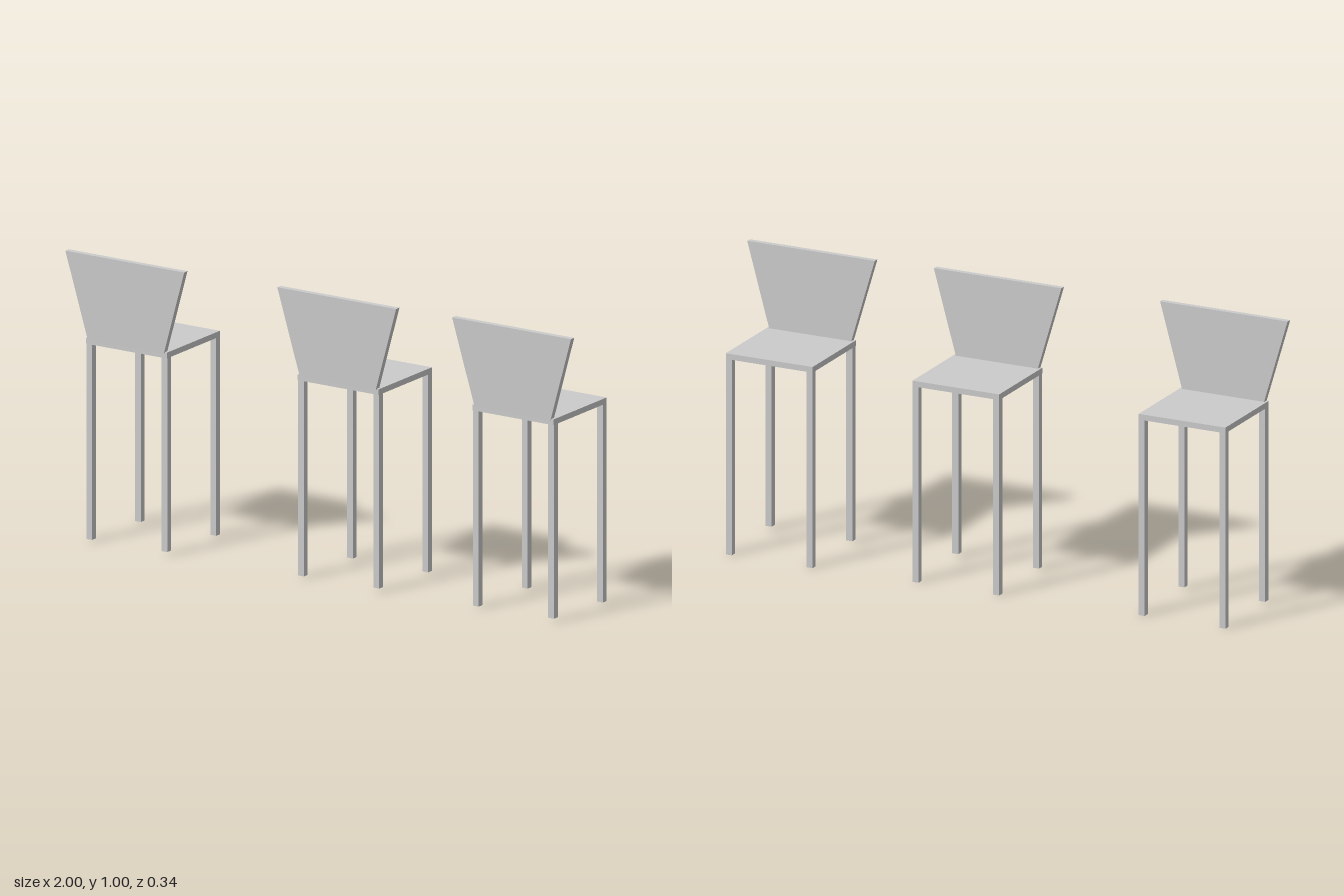
import * as THREE from 'three';

const material = new THREE.MeshStandardMaterial({ color: 0xcccccc, flatShading: true });

const SEAT_W = 0.325, SEAT_D = 0.32, SEAT_TOP = 0.707, SEAT_T = 0.02;
const LEG = 0.023, SEAT_Z = -0.005;

function box(name, w, h, d, x, y, z) {
  const mesh = new THREE.Mesh(new THREE.BoxGeometry(w, h, d), material);
  mesh.name = name;
  mesh.position.set(x, y, z);
  return mesh;
}

// Flaring trapezoid panel that leans out slightly
function backrest() {
  const bottom = 0.305 / 2, top = 0.477 / 2, height = 1 - SEAT_TOP + 0.004, thick = 0.02;
  const shape = new THREE.Shape([
    new THREE.Vector2(-bottom, 0), new THREE.Vector2(bottom, 0),
    new THREE.Vector2(top, height), new THREE.Vector2(-top, height),
  ]);
  const geometry = new THREE.ExtrudeGeometry(shape, { depth: thick, bevelEnabled: false });
  geometry.translate(0, 0, -thick / 2);
  const mesh = new THREE.Mesh(geometry, material);
  mesh.name = 'backrest';
  mesh.position.set(0, SEAT_TOP - 0.004, 0.148);
  mesh.rotation.x = 0.02;
  return mesh;
}

function stool() {
  const group = new THREE.Group();
  group.name = 'stool';
  group.add(box('seat', SEAT_W, SEAT_T, SEAT_D, 0, SEAT_TOP - SEAT_T / 2, SEAT_Z));
  group.add(backrest());

  // Four square legs flush with the seat corners; the backrest pair is a little shorter
  const legTop = SEAT_TOP - SEAT_T;
  for (const sx of [-1, 1]) {
    for (const sz of [-1, 1]) {
      const foot = sz > 0 ? 0.011 + sx * 0.003 : 0;
      const x = sx * (SEAT_W - LEG) / 2;
      const z = SEAT_Z + sz * (SEAT_D - LEG) / 2 - (sz > 0 ? 0.003 : 0);
      group.add(box('leg', LEG, legTop - foot, LEG, x, (legTop + foot) / 2, z));
    }
  }
  return group;
}

export function createModel() {
  const model = new THREE.Group();
  model.name = 'barStools';
  // Row of three stools, each turned very slightly
  for (const x of [-0.761, 0.073, 0.761]) {
    const s = stool();
    s.position.x = x;
    s.rotation.y = -0.03;
    model.add(s);
  }
  return model;
}
